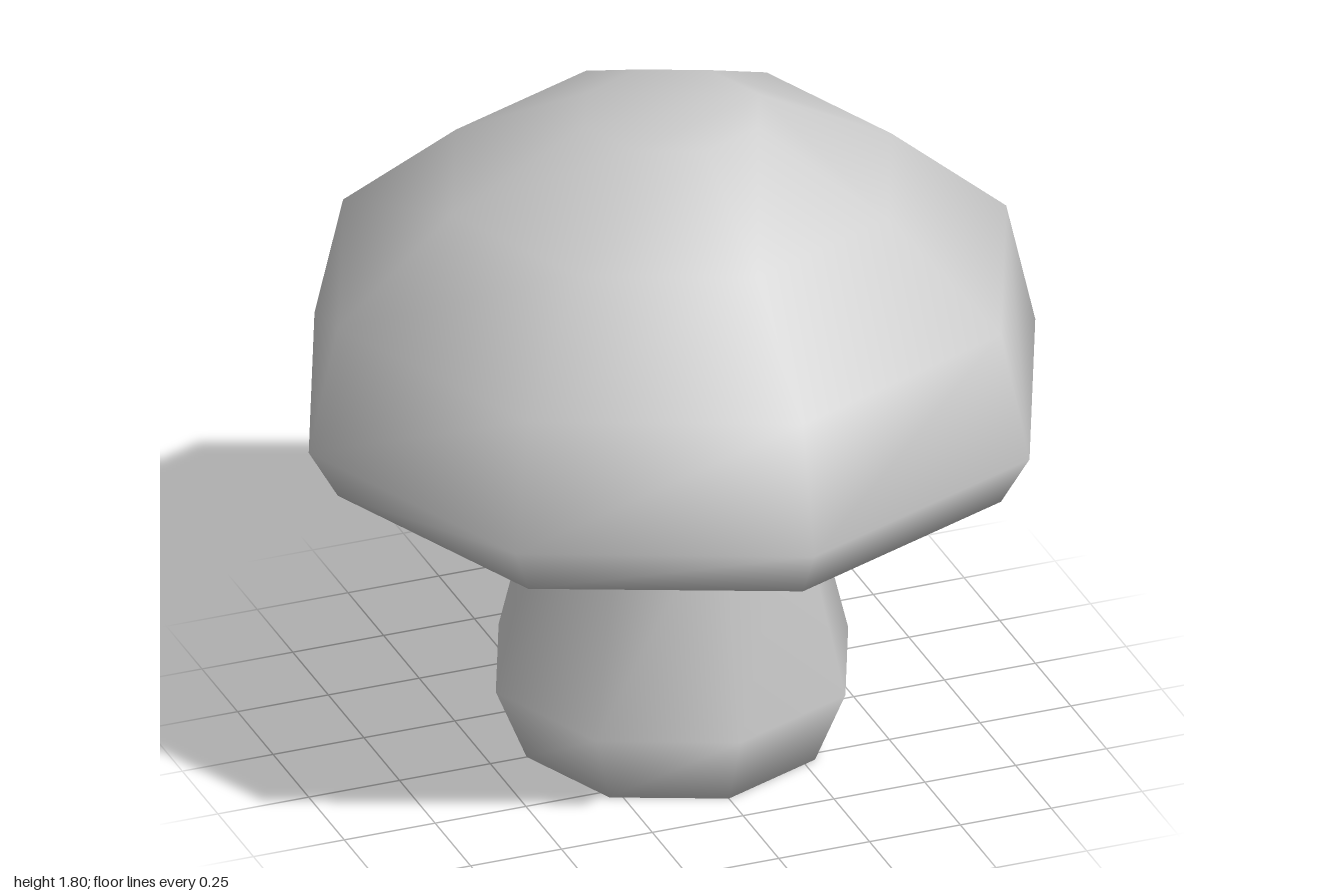
import * as THREE from 'three';

const SIDES = 8;

// [radius, height] from the foot of the stem, up into the hollow, round the rim and over the cap
const PROFILE = [
  [0.40, 0], [0.485, 0.205], [0.335, 0.815], [0.405, 1.02],
  [0.92, 0.86], [1.0, 1.0], [0.92, 1.345], [0.605, 1.615], [0.24, 1.8],
];
const STEM_TOP = 3; // ring where the stem meets the underside of the cap

export function createModel() {
  const group = new THREE.Group();
  group.name = 'mushroom';
  const grey = new THREE.MeshStandardMaterial({ color: 0xcccccc });
  grey.name = 'pale grey';
  grey.side = THREE.DoubleSide;

  // Rings of shared vertices
  const positions = [];
  for (const [r, y] of PROFILE) {
    for (let j = 0; j < SIDES; j++) {
      const a = (j / SIDES) * Math.PI * 2;
      positions.push(r * Math.cos(a), y, r * Math.sin(a));
    }
  }

  // Bands between rings, kept apart for stem and cap
  const stemFaces = [], capFaces = [];
  for (let i = 0; i < PROFILE.length - 1; i++) {
    const faces = i < STEM_TOP ? stemFaces : capFaces;
    for (let j = 0; j < SIDES; j++) {
      const k = (j + 1) % SIDES;
      const a = i * SIDES + j, b = i * SIDES + k;
      const c = a + SIDES, d = b + SIDES;
      faces.push(a, c, b, b, c, d);
    }
  }

  // Flat foot and flat crown
  const crown = (PROFILE.length - 1) * SIDES;
  for (let j = 1; j < SIDES - 1; j++) {
    stemFaces.push(0, j, j + 1);
    capFaces.push(crown, crown + j + 1, crown + j);
  }

  // Smooth normals computed across the whole surface, so the parts blend
  const whole = new THREE.BufferGeometry();
  whole.setAttribute('position', new THREE.Float32BufferAttribute(positions, 3));
  whole.setIndex([...stemFaces, ...capFaces]);
  whole.computeVertexNormals();

  const addPart = (name, faces) => {
    const geometry = whole.clone();
    geometry.setIndex(faces);
    const mesh = new THREE.Mesh(geometry, grey);
    mesh.name = name;
    group.add(mesh);
  };
  addPart('stem', stemFaces);
  addPart('cap', capFaces);
  return group;
}
